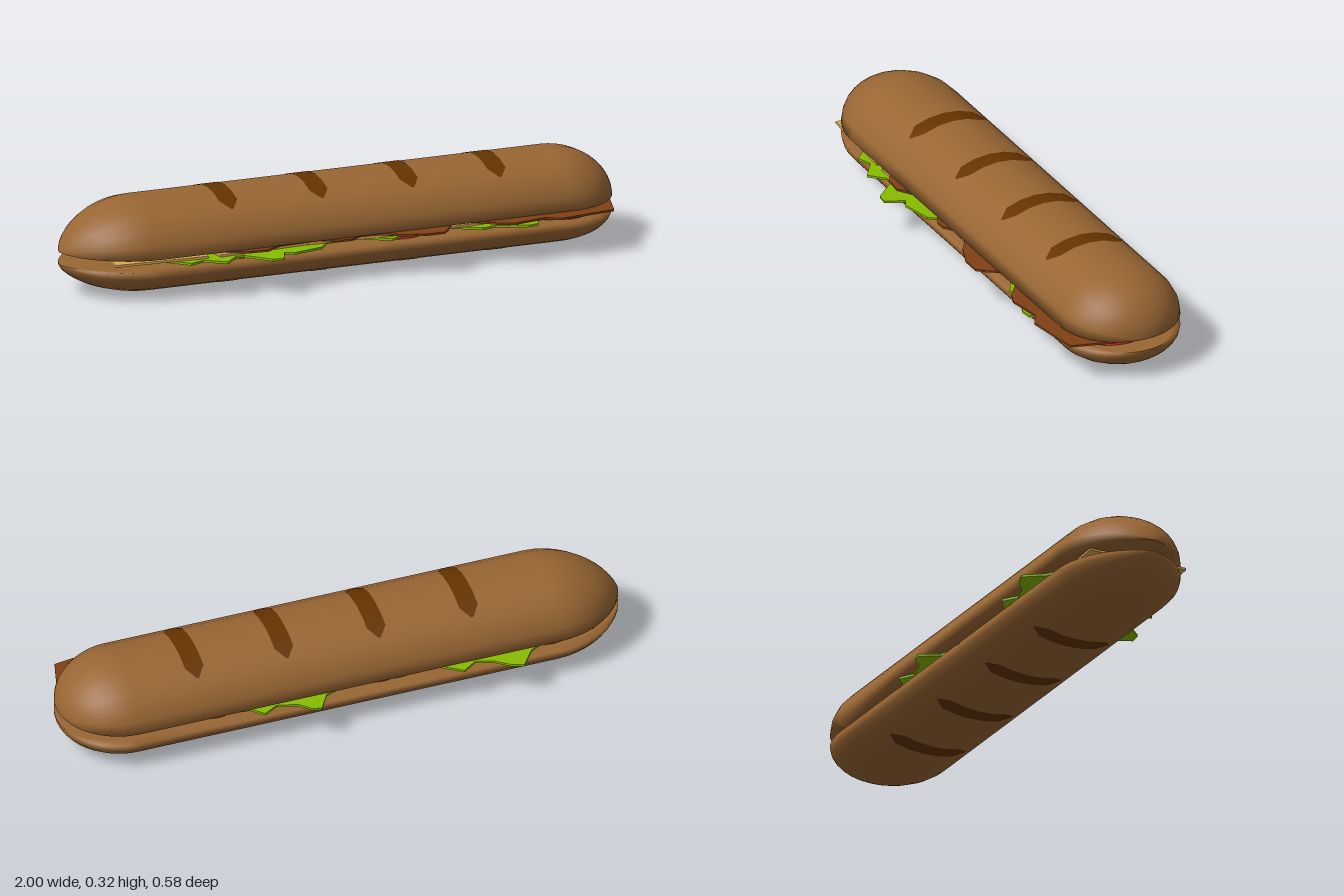
import * as THREE from 'three';
import { mergeVertices } from 'three/addons/utils/BufferGeometryUtils.js';

const ZC = -0.02, HALF_W = 0.215;
const TOP = { y: 0.15, h: 0.169, dir: 1 };
const BOTTOM = { y: 0.108, h: 0.106, dir: -1 };
const rad = THREE.MathUtils.degToRad;
const mat = (color, side = THREE.FrontSide) => new THREE.MeshStandardMaterial({ color, side });

function addMesh(parent, name, geometry, material) {
  const mesh = new THREE.Mesh(geometry, material);
  mesh.name = name;
  parent.add(mesh);
  return mesh;
}

// Point on the crust: angle runs across the loaf from its ridge, s is the taper
function crustPoint(half, x, deg, s = 1) {
  const a = rad(deg);
  return [x, half.y + half.dir * half.h * s * Math.cos(a), ZC + HALF_W * s * Math.sin(a)];
}

function gridGeometry(rows, closed, flip) {
  const n = rows[0].length, index = [];
  for (let i = 0; i < rows.length - 1; i++) {
    for (let j = 0; j < (closed ? n : n - 1); j++) {
      const k = (j + 1) % n;
      const a = i * n + j, b = (i + 1) * n + j, c = i * n + k, d = (i + 1) * n + k;
      if (flip) index.push(a, b, c, c, b, d);
      else index.push(a, c, b, c, d, b);
    }
  }
  let g = new THREE.BufferGeometry();
  g.setAttribute('position', new THREE.Float32BufferAttribute(rows.flat(2), 3));
  g.setIndex(index);
  g = mergeVertices(g, 1e-5);
  g.computeVertexNormals();
  return g;
}

// Half loaf: arched sections with a flat cut face, pointed left heel, round right heel
function bunGeometry(half) {
  const stations = [], steps = 12;
  for (let i = steps; i >= 0; i--) {
    const a = (i / steps) * Math.PI / 2;
    stations.push([-0.72 - 0.28 * Math.sin(a), i === steps ? 0 : Math.cos(a) ** 1.3]);
  }
  for (const x of [-0.36, 0, 0.4]) stations.push([x, 1]);
  for (let i = 0; i <= steps; i++) {
    const a = (i / steps) * Math.PI / 2;
    stations.push([0.78 + 0.22 * Math.sin(a), i === steps ? 0 : Math.cos(a)]);
  }
  const rows = stations.map(([x, s]) => {
    const ring = [];
    for (let deg = -90; deg <= 90; deg += 15) ring.push(crustPoint(half, x, deg, s));
    for (const k of [0.8, -0.8]) ring.push([x, half.y, ZC + HALF_W * s * k]);
    return ring;
  });
  return gridGeometry(rows, true, half.dir < 0);
}

// Dark score mark lying on the crust, pointed at both ends
function scoreGeometry(half, x) {
  const lifted = { ...half, h: half.h + 0.0015 };
  const angles = [-42, -30, -15, 0, 15, 30, 42];
  const rows = [-1, 0, 1].map((side) => angles.map((deg) =>
    crustPoint(lifted, x + side * (Math.abs(deg) > 35 ? 0.004 : 0.033), deg)));
  return gridGeometry(rows, false, half.dir < 0);
}

// Flat slab from an (x, z) outline between two heights
function slabGeometry(outline, y0, y1) {
  const shape = new THREE.Shape(outline.map(([x, z]) => new THREE.Vector2(x, z)));
  const g = new THREE.ExtrudeGeometry(shape, { depth: y1 - y0, bevelEnabled: false });
  return g.rotateX(Math.PI / 2).translate(0, y1, 0);
}

export function createModel() {
  const model = new THREE.Group();
  model.name = 'baguetteSandwich';
  const crust = mat(0x996633), score = mat(0x663300, THREE.DoubleSide);

  // Bread halves with their score marks
  for (const [name, half] of [['topBread', TOP], ['bottomBread', BOTTOM]]) {
    const group = new THREE.Group();
    group.name = name;
    addMesh(group, name + 'Crust', bunGeometry(half), crust);
    for (const x of [-0.43, -0.1, 0.23, 0.55]) {
      addMesh(group, name + 'Score', scoreGeometry(half, x), score);
    }
    model.add(group);
  }

  // Row of tomato slices
  const tomato = mat(0xdd3333);
  [-0.71, -0.405, -0.105, 0.19, 0.485, 0.79].forEach((x, i) => {
    const slice = addMesh(model, 'tomatoSlice', new THREE.CylinderGeometry(0.138, 0.138, 0.017, 24), tomato);
    slice.position.set(x, 0.1165, i % 2 ? 0.013 : -0.05);
  });

  // Ragged lettuce leaf
  const lettuce = [
    [-0.82, 0.03], [-0.76, 0.12], [-0.68, 0.16], [-0.62, 0.22], [-0.57, 0.2], [-0.5, 0.25],
    [-0.45, 0.2], [-0.42, 0.2], [-0.35, 0.28], [-0.31, 0.285], [-0.28, 0.22], [-0.25, 0.235],
    [-0.14, 0.21], [-0.1, 0.16], [0.02, 0.15], [0.12, 0.21], [0.18, 0.17], [0.35, 0.15],
    [0.45, 0.21], [0.5, 0.2], [0.6, 0.24], [0.64, 0.235], [0.67, 0.17], [0.78, 0.12],
    [0.84, 0], [0.8, -0.1], [0.7, -0.18], [0.55, -0.16], [0.45, -0.2], [0.38, -0.21],
    [0.34, -0.25], [0.29, -0.22], [0.22, -0.24], [0.18, -0.28], [0.15, -0.285], [0.11, -0.22],
    [-0.02, -0.17], [-0.15, -0.21], [-0.28, -0.19], [-0.37, -0.255], [-0.42, -0.22], [-0.48, -0.24],
    [-0.53, -0.28], [-0.57, -0.293], [-0.62, -0.225], [-0.7, -0.18], [-0.78, -0.1],
  ];
  addMesh(model, 'lettuce', slabGeometry(lettuce, 0.125, 0.133), mat(0x88bb00));

  // Cheese slices, slightly turned
  const cheese = mat(0xddaa55);
  [-0.7, -0.35, 0, 0.35, 0.69].forEach((x, i) => {
    const slice = addMesh(model, 'cheeseSlice', new THREE.BoxGeometry(0.33, 0.008, 0.36), cheese);
    slice.position.set(x, 0.1375, 0);
    slice.rotation.y = rad(i % 2 ? 4 : -3);
  });

  // Wavy slice of meat overhanging the front
  const meat = [
    [-0.66, 0.05], [-0.58, 0.14], [-0.46, 0.18], [-0.41, 0.215], [-0.34, 0.22], [-0.28, 0.18],
    [-0.14, 0.17], [-0.07, 0.21], [-0.03, 0.21], [0.01, 0.18], [0.09, 0.19], [0.14, 0.225],
    [0.22, 0.255], [0.29, 0.255], [0.32, 0.22], [0.35, 0.17], [0.43, 0.17], [0.5, 0.23],
    [0.55, 0.25], [0.6, 0.24], [0.67, 0.23], [0.72, 0.258], [0.92, 0.228], [0.965, 0.08],
    [0.9, -0.02], [0.75, -0.1], [0.55, -0.14], [0.35, -0.1], [0.15, -0.13], [-0.1, -0.1],
    [-0.3, -0.14], [-0.5, -0.11], [-0.62, -0.05],
  ];
  addMesh(model, 'meat', slabGeometry(meat, 0.142, 0.149), mat(0x804015));

  return model;
}
